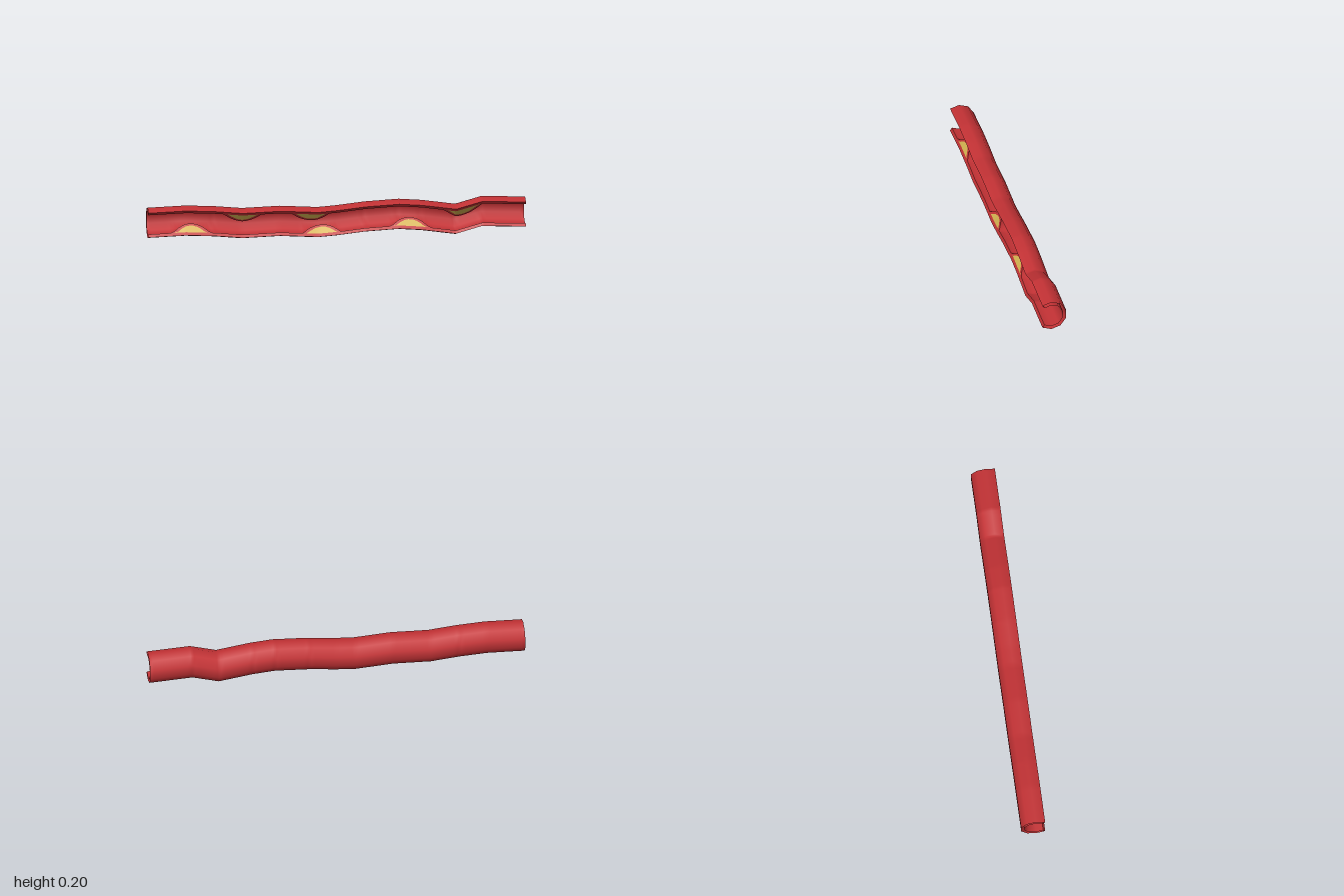
import * as THREE from 'three';

const OUTER = 0.083, INNER = 0.065, AXIS_Z = 0.017;
const SIDES = 7; // seven faces of a ten-sided tube; the front three are cut away

// Height of the wavy centre line, as [x, y]
const centreLine = [
  [-1, 0.112], [-0.8, 0.118], [-0.65, 0.11], [-0.5, 0.095], [-0.3, 0.101], [-0.1, 0.088], [0, 0.095],
  [0.15, 0.111], [0.33, 0.12], [0.45, 0.11], [0.63, 0.083], [0.77, 0.122], [1, 0.111],
];
const topDeposits = [-0.5, -0.14, 0.67];
const bottomDeposits = [-0.77, -0.08, 0.39];
const falloff = [1, 0.6, 0.1, 0, 0, 0, 0, 0]; // swelling fades away from the cut edge

// Stations along the tube, including every bend
const stations = [...new Set([
  ...Array.from({ length: 101 }, (_, i) => Math.round(i * 2 - 100) / 100),
  ...centreLine.map((p) => p[0]),
])].sort((a, b) => a - b);

function centreY(x) {
  const i = Math.min(Math.max(centreLine.findIndex((p) => p[0] >= x), 1), centreLine.length - 1);
  const [x0, y0] = centreLine[i - 1], [x1, y1] = centreLine[i];
  return THREE.MathUtils.mapLinear(x, x0, x1, y0, y1);
}

// Dome-shaped swelling around each deposit
function swelling(x, deposits, height, halfWidth) {
  return deposits.reduce((h, d) => Math.max(h, height * (1 - ((x - d) / halfWidth) ** 2)), 0);
}
const lip = (x, deposits) => swelling(x, deposits, 0.05, 0.1);
const core = (x, deposits) => swelling(x, deposits, 0.038, 0.076);

// Surface over all stations; radius(x, k) and side(k) place point k of each row
function surface(count, radius, side, flip) {
  const positions = [], index = [];
  for (const x of stations) {
    for (let k = 0; k < count; k++) {
      const angle = (1 - side(k)) * Math.PI / 5, r = radius(x, k);
      positions.push(x, centreY(x) + r * Math.cos(angle), AXIS_Z + r * Math.sin(angle));
    }
  }
  for (let i = 0; i < stations.length - 1; i++) {
    for (let k = 0; k < count - 1; k++) {
      // Skip places where the strip has no width
      if (side(k) === side(k + 1) &&
        [i, i + 1].every((s) => Math.abs(radius(stations[s], k) - radius(stations[s], k + 1)) < 1e-6)) continue;
      const a = i * count + k, b = a + count, c = b + 1, d = a + 1;
      index.push(...(flip ? [a, c, b, a, d, c] : [a, b, c, a, c, d]));
    }
  }
  const geometry = new THREE.BufferGeometry();
  geometry.setAttribute('position', new THREE.Float32BufferAttribute(positions, 3));
  geometry.setIndex(index);
  geometry.computeVertexNormals();
  return geometry;
}

export function createModel() {
  const wallRed = new THREE.MeshStandardMaterial({ color: 0xc43235, side: THREE.DoubleSide });
  wallRed.name = 'wall red';
  const depositYellow = new THREE.MeshStandardMaterial({ color: 0xd8b552, side: THREE.DoubleSide });
  depositYellow.name = 'deposit yellow';

  const model = new THREE.Group();
  model.name = 'openedVessel';
  const add = (name, geometry, material) => {
    const mesh = new THREE.Mesh(geometry, material);
    mesh.name = name;
    model.add(mesh);
  };

  // Outer wall and the inner lining that swells over the deposits
  add('outerWall', surface(SIDES + 1, () => OUTER, (k) => k, false), wallRed);
  add('innerLining', surface(SIDES + 1, (x, k) => INNER
    - lip(x, topDeposits) * falloff[k]
    - lip(x, bottomDeposits) * falloff[SIDES - k], (k) => k, true), wallRed);

  // Flat cut faces: wall, deposit core, and the lining around the core
  for (const [name, deposits, side, flip] of [
    ['top', topDeposits, 0, true], ['bottom', bottomDeposits, SIDES, false],
  ]) {
    const coreEdge = (x) => INNER - core(x, deposits);
    const lipEdge = (x) => INNER - lip(x, deposits);
    const strip = (from, to) => surface(2, (x, k) => (k ? to(x) : from(x)), () => side, flip);
    add(name + 'CutEdge', strip(() => OUTER, () => INNER), wallRed);
    add(name + 'Deposits', strip(() => INNER, coreEdge), depositYellow);
    add(name + 'DepositLining', strip(coreEdge, lipEdge), wallRed);
  }
  return model;
}
